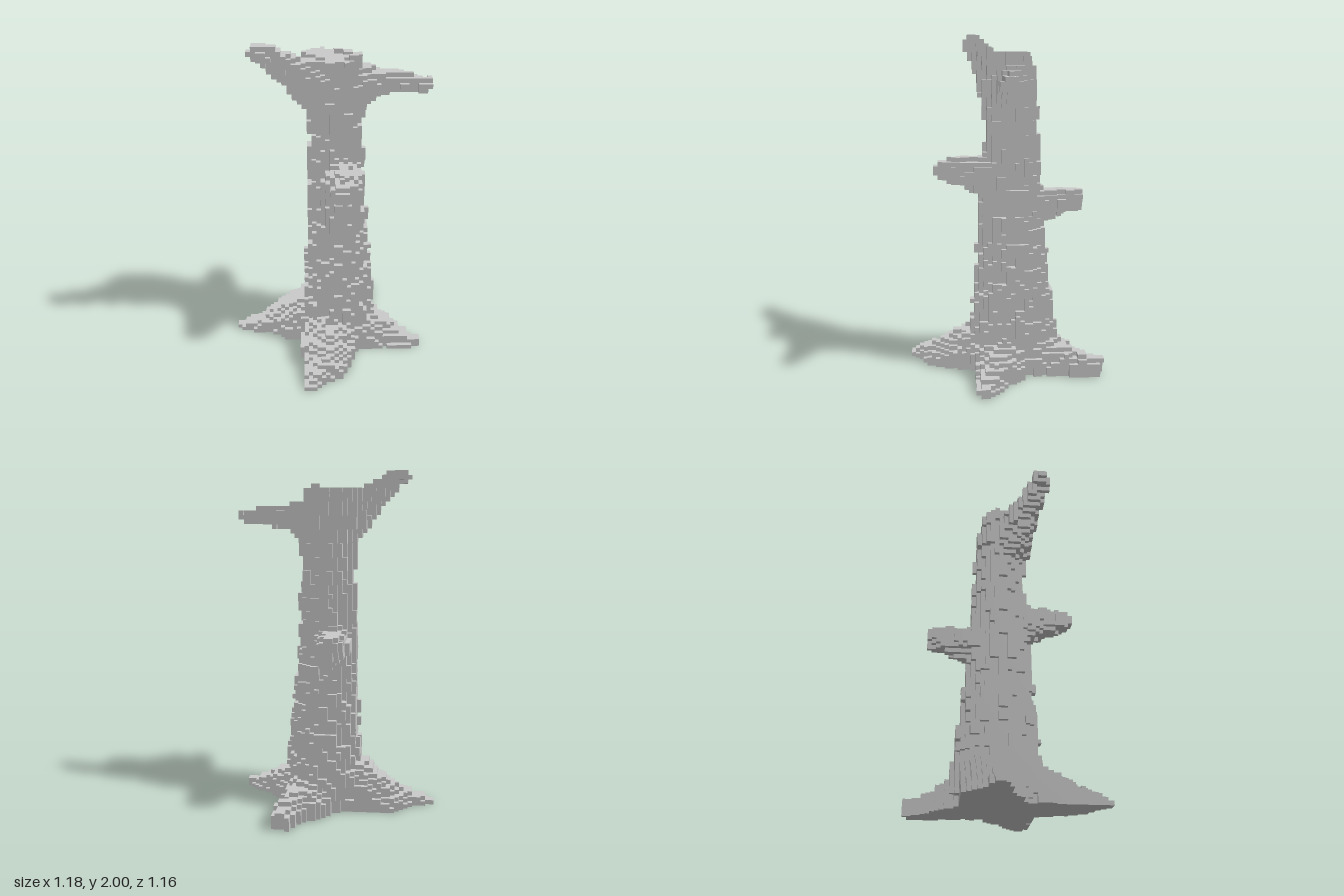
import * as THREE from 'three';

const S = 2 / 76;      // cube size
const HALF = 22;       // cubes either side of the centre
const TALL = 76;

// Trunk sections: y, centre x, centre z, half width, half depth, reach of the front right corner
const trunk = [
  [0, .06, -.05, .23, .275, .4], [.2, .065, -.06, .22, .255, .36], [.5, .07, -.06, .197, .225, .3],
  [.8, .06, -.055, .17, .195, .26], [1.1, .06, -.045, .163, .176, .21], [1.4, .055, -.05, .157, .148, .17],
  [1.65, .048, -.05, .162, .148, .18], [1.8, .045, -.045, .165, .15, .25], [1.895, .03, -.01, .16, .145, .25],
];

// Limbs: tapering paths of [x, y, z, radius], tip first
const limbs = {
  leftRoot: [[.535, 0, .11, .06], [.43, .01, .085, .088], [.3, .03, .025, .14], [.15, .08, -.01, .19]],
  rightRoot: [[-.56, 0, -.085, .042], [-.42, 0, -.09, .085], [-.28, 0, -.125, .15], [-.1, .08, -.09, .2]],
  frontRoot: [[-.095, 0, .545, .045], [-.065, 0, .46, .08], [-.02, 0, .36, .13], [.01, .04, .24, .16], [.03, .08, .08, .19]],
  backRoot: [[.27, .06, -.535, .052], [.25, .05, -.43, .08], [.16, .04, -.3, .14], [.1, .08, -.12, .2]],
  topRightBranch: [[-.385, 1.965, .165, .038], [-.32, 1.94, .165, .055], [-.24, 1.87, .11, .075], [-.14, 1.79, .06, .105], [-.02, 1.7, 0, .14]],
  topLeftBranch: [[.56, 1.73, .005, .035], [.42, 1.73, -.035, .058], [.3, 1.73, -.045, .07], [.2, 1.72, -.05, .105], [.08, 1.65, -.05, .145]],
  frontBranch: [[.07, 1.21, .365, .052], [.1, 1.21, .25, .08], [.09, 1.18, .12, .11], [.06, 1.1, 0, .12]],
  backBranch: [[0, 1.015, -.43, .066], [0, 1, -.3, .085], [.03, 1, -.15, .12]],
  topKnob: [[.145, 1.9, .08, .022], [.13, 1.78, .06, .03]],
};
const names = ['trunk', ...Object.keys(limbs)];

// Repeatable bark roughness, constant over small upright blocks
function bark(x, y, z) {
  let h = Math.imul(x >> 1, 374761393) ^ Math.imul(Math.floor(y / 3), 668265263) ^ Math.imul(z >> 1, 1274126177);
  h = Math.imul(h ^ (h >>> 13), 1103515245);
  return (((h ^ (h >>> 16)) >>> 0) / 4294967296 - .5) * .036;
}

function inTrunk(x, y, z, rough) {
  if (y > 1.89 + rough) return false;
  const k = trunk.findIndex((s) => s[0] >= y);
  const a = trunk[Math.max(k - 1, 0)], b = trunk[k];
  const t = b[0] > a[0] ? (y - a[0]) / (b[0] - a[0]) : 0;
  const [, cx, cz, rx, rz, corner] = a.map((v, i) => v + (b[i] - v) * t);
  if (z - cz - x + cx > corner + rough) return false;
  return Math.abs((x - cx) / (rx + rough)) ** 2.1 + Math.abs((z - cz) / (rz + rough)) ** 2.1 < 1;
}

// Tapered capsules; roots are filled down to the ground
function inLimb(path, x, y, z, rough, root) {
  for (let i = 0; i + 1 < path.length; i++) {
    const a = path[i], b = path[i + 1];
    const d = [b[0] - a[0], b[1] - a[1], b[2] - a[2]];
    const dot = (x - a[0]) * d[0] + (y - a[1]) * d[1] + (z - a[2]) * d[2];
    const t = THREE.MathUtils.clamp(dot / (d[0] ** 2 + d[1] ** 2 + d[2] ** 2), 0, 1);
    let dy = y - a[1] - d[1] * t;
    if (root && dy < 0) dy = 0;
    const r = a[3] + (b[3] - a[3]) * t + rough * .6;
    if (Math.hypot(x - a[0] - d[0] * t, dy, z - a[2] - d[2] * t) < r) return true;
  }
  return false;
}

// Which part owns the cube, or -1 for empty space
function ownerOf(i, j, k) {
  const x = i * S, y = (j + .5) * S, z = k * S, rough = bark(i, j, k);
  if (inTrunk(x, y, z, rough)) return 0;
  return names.findIndex((n, p) => p > 0 && inLimb(limbs[n], x, y, z, rough, n.endsWith('Root')));
}

export function createModel() {
  const group = new THREE.Group();
  const barkGrey = new THREE.MeshStandardMaterial({ color: 0xcacaca });
  barkGrey.name = 'barkGrey';

  // Fill the cube grid
  const W = 2 * HALF + 1;
  const cells = new Int8Array(W * W * TALL).fill(-1);
  const index = (i, j, k) => (j * W + k + HALF) * W + i + HALF;
  const each = (fn) => {
    for (let j = 0; j < TALL; j++)
      for (let k = -HALF; k <= HALF; k++)
        for (let i = -HALF; i <= HALF; i++) fn(i, j, k);
  };
  each((i, j, k) => { cells[index(i, j, k)] = ownerOf(i, j, k); });
  const at = (i, j, k) =>
    Math.abs(i) > HALF || Math.abs(k) > HALF || j < 0 || j >= TALL ? -1 : cells[index(i, j, k)];

  // Collect the exposed cube faces of every part
  const parts = names.map(() => ({ position: [], normal: [], index: [] }));
  const corners = [[0, 0], [1, 0], [1, 1], [0, 1]];
  each((i, j, k) => {
    const owner = at(i, j, k);
    if (owner < 0) return;
    const part = parts[owner], base = [i - .5, j, k - .5];
    for (let axis = 0; axis < 3; axis++) {
      for (const sign of [-1, 1]) {
        const n = [0, 0, 0];
        n[axis] = sign;
        if (at(i + n[0], j + n[1], k + n[2]) >= 0) continue;
        const first = part.position.length / 3;
        for (const [u, v] of corners) {
          const p = [...base];
          p[axis] += sign > 0 ? 1 : 0;
          p[(axis + 1) % 3] += u;
          p[(axis + 2) % 3] += v;
          part.position.push(p[0] * S, p[1] * S, p[2] * S);
          part.normal.push(...n);
        }
        const order = sign > 0 ? [0, 1, 2, 0, 2, 3] : [0, 2, 1, 0, 3, 2];
        part.index.push(...order.map((o) => first + o));
      }
    }
  });

  parts.forEach((part, p) => {
    if (!part.index.length) return;
    const geometry = new THREE.BufferGeometry();
    geometry.setAttribute('position', new THREE.Float32BufferAttribute(part.position, 3));
    geometry.setAttribute('normal', new THREE.Float32BufferAttribute(part.normal, 3));
    geometry.setIndex(part.index);
    const mesh = new THREE.Mesh(geometry, barkGrey);
    mesh.name = names[p];
    group.add(mesh);
  });
  return group;
}
